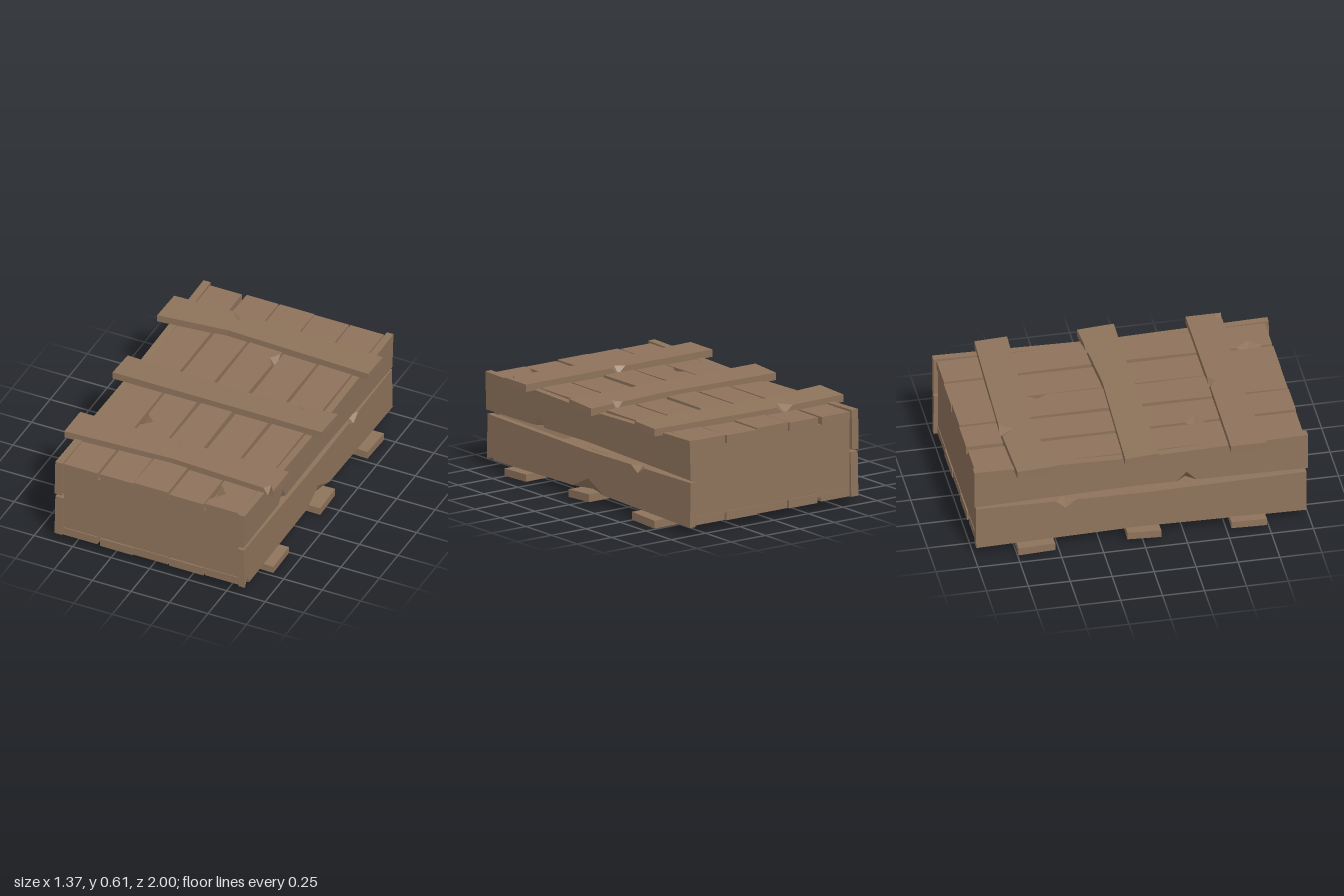
import * as THREE from 'three';

const wood = new THREE.MeshStandardMaterial({ color: 0x8e735b, flatShading: true });
wood.name = 'weathered wood';

// Points along one long edge: start, middle, end, plus chips [u, halfWidth, depth]
function edgePoints(u, v, chips, inward) {
  const at = (x) => x < u[1]
    ? v[0] + (v[1] - v[0]) * (x - u[0]) / (u[1] - u[0])
    : v[1] + (v[2] - v[1]) * (x - u[1]) / (u[2] - u[1]);
  const pts = u.map((x, i) => ({ u: x, v: v[i], cut: 0 }))
    .filter((p) => !chips.some(([c, h]) => Math.abs(p.u - c) < h));
  for (const [c, h, d] of chips) {
    for (const x of [c - h, c, c + h]) {
      if (x > u[0] && x < u[2]) pts.push({ u: x, v: at(x), cut: x === c ? d * inward : 0 });
    }
  }
  return pts.sort((a, b) => a.u - b.u);
}

// A warped plank. axes names the world axes of length, width and thickness;
// w runs from the inner face to the outer face, where the chips are cut.
function plank(name, axes, { u, lo, hi, w, loChips = [], hiChips = [], tilt = 0, skew = 0 }) {
  const pts = [...edgePoints(u, lo, loChips, 1), ...edgePoints(u, hi, hiChips, -1).reverse()];
  const inner = pts.map((p) => new THREE.Vector2(p.u, p.v));
  const outer = pts.map((p) => new THREE.Vector2(p.u, p.v + p.cut));
  const vMid = (lo[1] + hi[1]) / 2;
  const pos = [];
  const add = (p, depth) => {
    const o = {};
    o[axes[0]] = p.x;
    o[axes[1]] = p.y;
    o[axes[2]] = depth + tilt * (p.y - vMid) + skew * p.x;
    pos.push(o.x, o.y, o.z);
  };
  inner.forEach((p) => add(p, w[0]));
  outer.forEach((p) => add(p, w[1]));

  const n = pts.length;
  const tris = [];
  for (const [a, b, c] of THREE.ShapeUtils.triangulateShape(inner, [])) tris.push([a, c, b]);
  for (const [a, b, c] of THREE.ShapeUtils.triangulateShape(outer, [])) tris.push([a + n, b + n, c + n]);
  for (let i = 0; i < n; i++) {
    const j = (i + 1) % n;
    if (pts[j].cut) tris.push([i, j, i + n], [i + n, j, j + n]);
    else tris.push([i, j, j + n], [i, j + n, i + n]);
  }
  // Mirrored axes or an inward thickness turn the faces over
  const flip = ['xyz', 'yzx', 'zxy'].includes(axes) !== (w[1] > w[0]);
  const index = tris.flatMap(([a, b, c]) => (flip ? [a, c, b] : [a, b, c]));
  let geo = new THREE.BufferGeometry();
  geo.setAttribute('position', new THREE.Float32BufferAttribute(pos, 3));
  geo.setIndex(index);
  geo = geo.toNonIndexed();
  geo.computeVertexNormals();
  const mesh = new THREE.Mesh(geo, wood);
  mesh.name = name;
  return mesh;
}

export function createModel() {
  const crate = new THREE.Group();
  crate.name = 'crate';

  // Lid and floor: five long planks each, with narrow gaps
  const rows = [
    [[-0.565, -0.568, -0.57], [-0.36, -0.355, -0.35]],
    [[-0.33, -0.338, -0.332], [-0.122, -0.13, -0.118]],
    [[-0.112, -0.102, -0.115], [0.112, 0.098, 0.108]],
    [[0.112, 0.122, 0.118], [0.335, 0.332, 0.34]],
    [[0.345, 0.36, 0.35], [0.562, 0.565, 0.57]],
  ];
  const lidChips = [
    {}, { loChips: [[0.38, 0.06, 0.06]] }, { hiChips: [[-0.48, 0.06, 0.04]] },
    {}, { loChips: [[0.84, 0.08, 0.065]] },
  ];
  rows.forEach(([lo, hi], i) => {
    const end = 0.976 + 0.004 * (i % 2);
    crate.add(plank('lidPlank', 'zxy', {
      u: [-end - 0.006, 0.05, end], lo, hi, w: [0.515, 0.562 + 0.004 * (i % 3)], ...lidChips[i],
    }));
    crate.add(plank('floorPlank', 'zxy', {
      u: [-end, -0.05, end + 0.002], lo, hi, w: [0.1, 0.05 - 0.003 * (i % 2)],
    }));
  });

  // End panels
  for (const s of [-1, 1]) {
    crate.add(plank('endPanel', 'xyz', {
      u: [-0.57, 0, 0.57], lo: [0.06, 0.1, 0.08], hi: [0.515, 0.515, 0.515],
      w: [0.925 * s, 0.972 * s],
    }));
  }

  // Side boards, two on each side with a gap between
  const upper = { u: [-0.995, 0, 0.995], lo: [0.333, 0.357, 0.343], hi: [0.575, 0.552, 0.575] };
  const lower = { u: [-0.985, 0, 0.985], lo: [0.047, 0.068, 0.05], hi: [0.318, 0.302, 0.318] };
  crate.add(
    plank('leftUpperBoard', 'zyx', {
      ...upper, u: [-1, 0, 1], w: [0.57, 0.613], tilt: 0.03, loChips: [[0.48, 0.05, 0.075]],
    }),
    plank('leftLowerBoard', 'zyx', {
      ...lower, u: [-0.998, 0, 0.99], w: [0.57, 0.61], tilt: -0.02,
      loChips: [[0.0, 0.15, 0.07], [0.955, 0.03, 0.05]], hiChips: [[-0.48, 0.065, 0.04]],
    }),
    plank('rightUpperBoard', 'zyx', {
      ...upper, w: [-0.57, -0.617], tilt: 0.02, loChips: [[0.27, 0.06, 0.06]],
    }),
    plank('rightLowerBoard', 'zyx', {
      ...lower, w: [-0.57, -0.622], tilt: 0.02, hiChips: [[-0.45, 0.06, 0.05]],
    }),
  );

  // Cross battens on top
  const top = [0.558, 0.603];
  crate.add(
    plank('topBackBatten', 'xzy', {
      u: [-0.688, -0.25, 0.675], lo: [-0.753, -0.768, -0.735], hi: [-0.525, -0.573, -0.54],
      w: top, tilt: 0.04, loChips: [[-0.25, 0.06, 0.08]],
    }),
    plank('topMiddleBatten', 'xzy', {
      u: [-0.678, 0.12, 0.68], lo: [-0.108, -0.083, -0.122], hi: [0.095, 0.095, 0.097],
      w: top, tilt: 0.06, loChips: [[0.48, 0.04, 0.05]],
    }),
    plank('topFrontBatten', 'xzy', {
      u: [-0.682, 0, 0.675], lo: [0.522, 0.526, 0.524], hi: [0.735, 0.703, 0.735],
      w: top, loChips: [[0, 0.05, 0.04]], hiChips: [[0.64, 0.03, 0.05]],
    }),
  );

  // Cross battens underneath
  const under = [0.058, 0.014];
  crate.add(
    plank('bottomBackBatten', 'xzy', {
      u: [-0.68, 0.1, 0.68], lo: [-0.745, -0.73, -0.74], hi: [-0.525, -0.54, -0.52],
      w: [0.052, 0.004], tilt: 0.04,
    }),
    plank('bottomMiddleBatten', 'xzy', {
      u: [-0.678, -0.1, 0.675], lo: [-0.095, -0.08, -0.095], hi: [0.108, 0.095, 0.105],
      w: [0.065, 0.018], tilt: -0.05,
    }),
    plank('bottomFrontBatten', 'xzy', {
      u: [-0.68, 0, 0.675], lo: [0.525, 0.54, 0.525], hi: [0.737, 0.72, 0.735],
      w: under, tilt: -0.03, skew: -0.003,
    }),
  );
  return crate;
}
